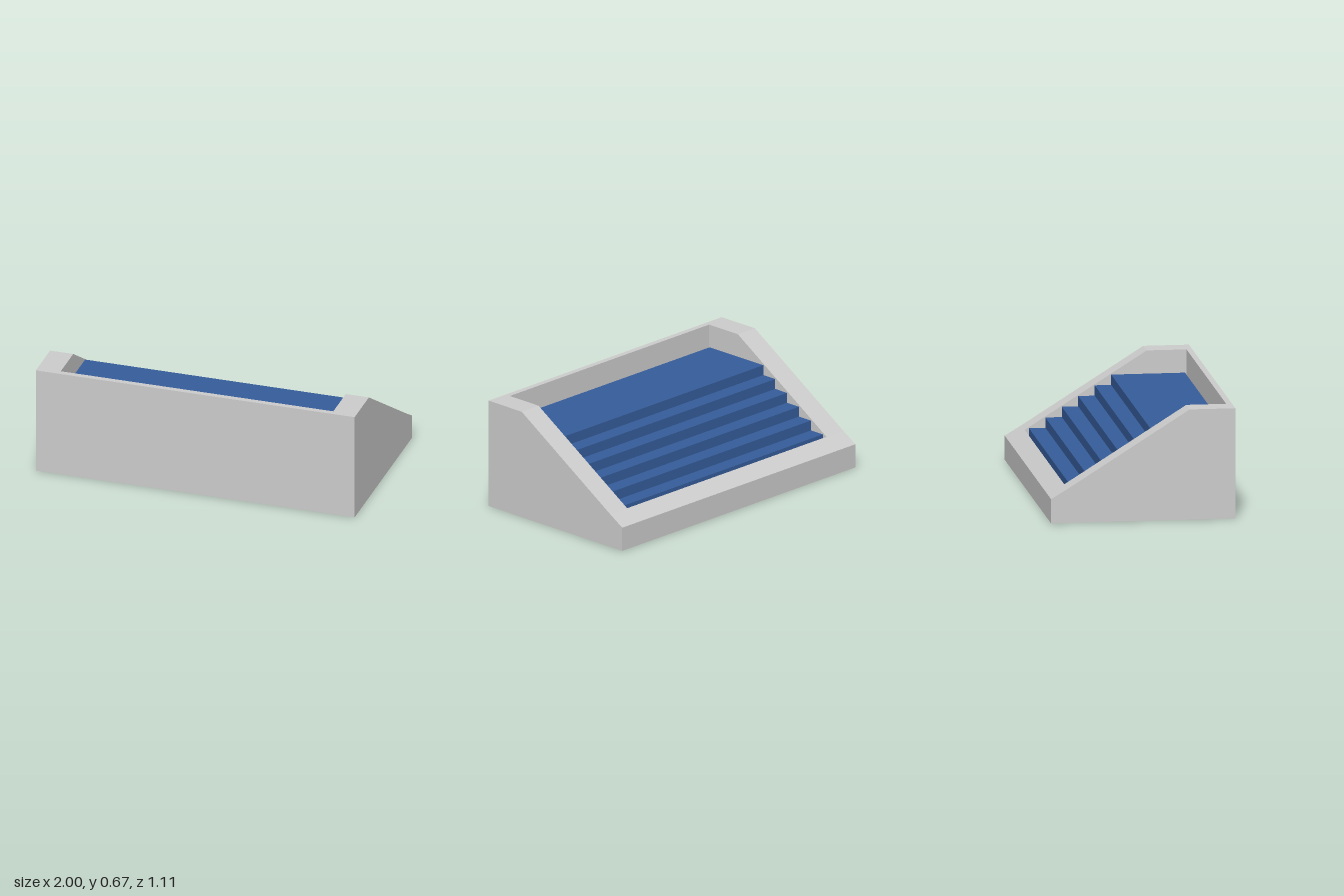
import * as THREE from 'three';

// Side profiles are [z, y] points, running up the front, back over the top and down.
const FRONT_RIM = [0.52, 0.67], SHOULDER = [0.28, 0.67], BACK_RIM = [-0.455, 0.207];
const FLOOR = [[0.52, 0.48], [-0.455, 0.13]]; // hidden floor of the recess
const before = [[0.555, 0], [0.555, 0.67], FRONT_RIM];
const after = [BACK_RIM, [-0.555, 0.147], [-0.555, 0]];
const solidProfile = [...before, SHOULDER, ...after];
const recessedProfile = [...before, ...FLOOR, ...after];
const recessWall = [FRONT_RIM, SHOULDER, BACK_RIM, FLOOR[1], FLOOR[0]];

const toShape = (points) => points.map(([z, y]) => new THREE.Vector2(-z, y));

// Sweeps a closed profile along x from x0 to x1, without end caps
function addStrip(out, x0, x1, profile) {
  profile.forEach(([z, y], i) => {
    const [z2, y2] = profile[(i + 1) % profile.length];
    out.push(x0, y, z, x1, y, z, x1, y2, z2, x0, y, z, x1, y2, z2, x0, y2, z2);
  });
}

// Flat wall in the plane x, facing +x or -x
function addWall(out, x, profile, facing) {
  const points = facing > 0 ? profile.slice().reverse() : profile;
  const flat = toShape(profile.slice().reverse());
  const ordered = profile.slice().reverse();
  for (const tri of THREE.ShapeUtils.triangulateShape(flat, [])) {
    const [a, b, c] = tri.map((i) => ordered[i]);
    // wind each triangle to match the facing
    const area = -(b[0] - a[0]) * (c[1] - a[1]) + (c[0] - a[0]) * (b[1] - a[1]);
    const corners = area * facing > 0 ? [a, b, c] : [a, c, b];
    for (const [z, y] of corners) out.push(x, y, z);
  }
  return points;
}

// Wedge-shaped housing with a rectangular recess
function createHousing() {
  const W = 1, R = 0.855, positions = [];
  addStrip(positions, -W, -R, solidProfile);
  addStrip(positions, -R, R, recessedProfile);
  addStrip(positions, R, W, solidProfile);
  for (const side of [-1, 1]) {
    addWall(positions, side * W, solidProfile, side);
    addWall(positions, side * R, recessWall, -side);
  }
  const geometry = new THREE.BufferGeometry();
  geometry.setAttribute('position', new THREE.Float32BufferAttribute(positions, 3));
  geometry.computeVertexNormals();
  const mesh = new THREE.Mesh(geometry, new THREE.MeshStandardMaterial({ color: 0xcccccc }));
  mesh.name = 'housing';
  return mesh;
}

// Stepped insert: a wide upper deck and five treads descending to the back
function createSteps() {
  const halfWidth = 0.85, tread = 0.099, riser = 0.0625;
  const profile = [[0.51, 0.477], [0.51, 0.53]];
  for (let i = 0; i < 6; i++) {
    const z = 0.065 - i * tread, y = 0.53 - i * riser;
    profile.push([z, y], [z, i < 5 ? y - riser : 0.141]);
  }
  const geometry = new THREE.ExtrudeGeometry(new THREE.Shape(toShape(profile)), {
    depth: halfWidth * 2, bevelEnabled: false,
  });
  geometry.rotateY(Math.PI / 2);
  geometry.translate(-halfWidth, 0, 0);
  const mesh = new THREE.Mesh(geometry, new THREE.MeshStandardMaterial({ color: 0x355c9a }));
  mesh.name = 'steps';
  return mesh;
}

export function createModel() {
  const model = new THREE.Group();
  model.name = 'steppedRack';
  model.add(createHousing(), createSteps());
  return model;
}
